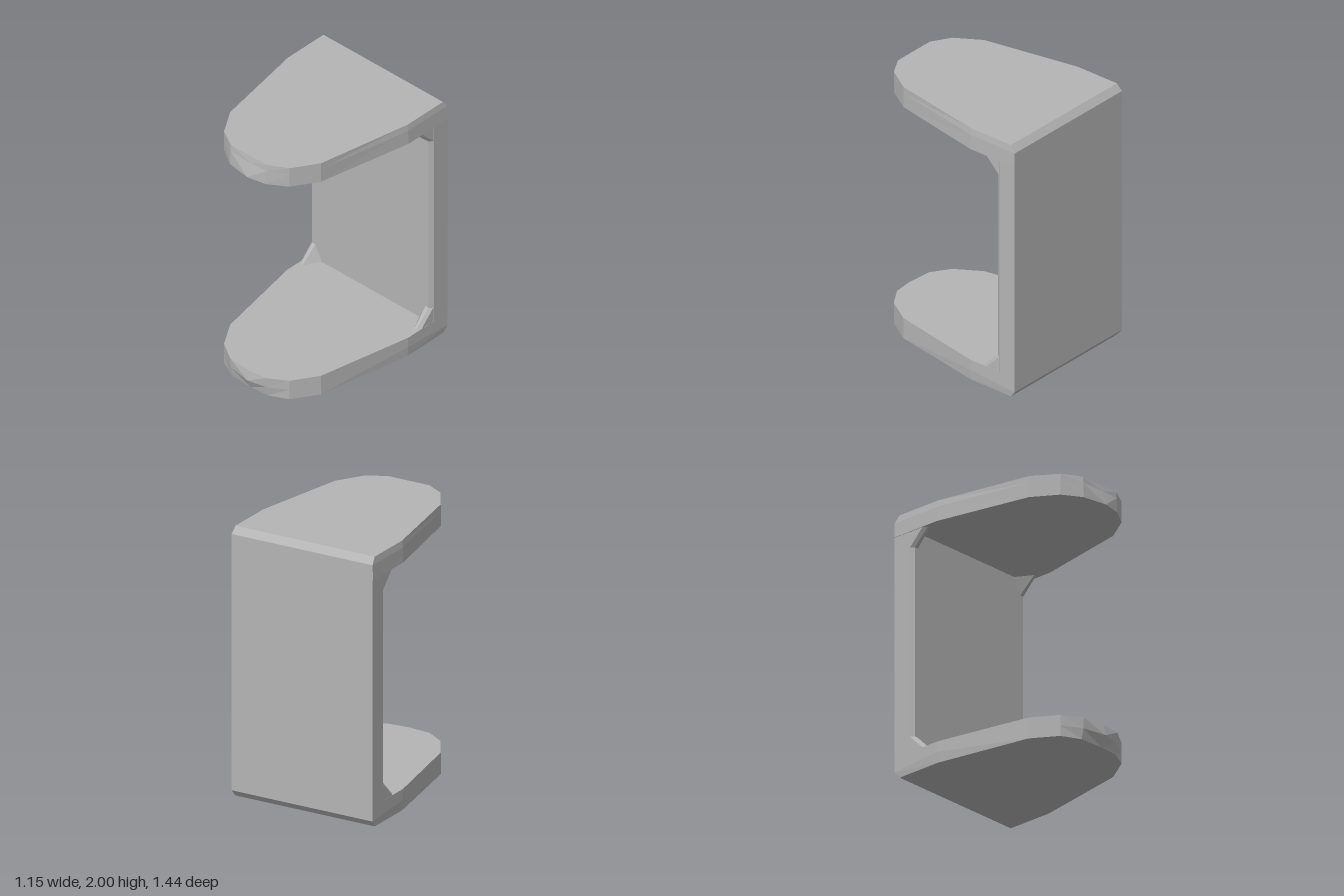
import * as THREE from 'three';
import { ConvexGeometry } from 'three/addons/geometries/ConvexGeometry.js';

// Joins equal-length rings (bottom to top, counter-clockwise from above) and caps both ends.
function loft(rings) {
  const pos = [];
  const tri = (a, b, c) => pos.push(...a, ...b, ...c);
  const n = rings[0].length;
  for (let r = 0; r < rings.length - 1; r++) {
    const lo = rings[r], hi = rings[r + 1];
    for (let j = 0; j < n; j++) {
      const k = (j + 1) % n;
      // Alternate the diagonals so the facets mirror left and right
      if (j < n / 2) { tri(lo[j], lo[k], hi[k]); tri(lo[j], hi[k], hi[j]); }
      else { tri(lo[j], lo[k], hi[j]); tri(lo[k], hi[k], hi[j]); }
    }
  }
  const bottom = rings[0], top = rings[rings.length - 1];
  for (let j = 1; j < n - 1; j++) {
    tri(top[0], top[j], top[j + 1]);
    tri(bottom[0], bottom[j + 1], bottom[j]);
  }
  const g = new THREE.BufferGeometry();
  g.setAttribute('position', new THREE.Float32BufferAttribute(pos, 3));
  g.computeVertexNormals();
  return g;
}

// Tongue-shaped outline: rounded nose in front, tapering sides, square back.
function slabRing({ y, tip, shoulder, width, back, backY = y }) {
  const half = [
    [0.17, y, shoulder], [0.31, y, 0.6], [0.43, y, 0.41],
    [width, y, -0.32], [width, backY, back],
  ];
  const mirrored = half.map(([x, h, z]) => [-x, h, z]).reverse();
  return [[0.02, y, tip], ...half, ...mirrored];
}

export function createModel() {
  const model = new THREE.Group();
  const grey = new THREE.MeshStandardMaterial({ color: 0xb4b4b4, flatShading: true });
  grey.name = 'plain grey';
  const add = (name, geometry) => {
    const mesh = new THREE.Mesh(geometry, grey);
    mesh.name = name;
    model.add(mesh);
  };

  // Top and bottom slabs with a chamfered back edge
  add('topSlab', loft([
    slabRing({ y: 1.84, tip: 0.72, shoulder: 0.69, width: 0.575, back: -0.72 }),
    slabRing({ y: 1.95, tip: 0.69, shoulder: 0.685, width: 0.572, back: -0.72 }),
    slabRing({ y: 2, tip: 0.68, shoulder: 0.68, width: 0.565, back: -0.68 }),
  ]));
  add('bottomSlab', loft([
    slabRing({ y: 0, tip: 0.68, shoulder: 0.67, width: 0.565, back: -0.68 }),
    slabRing({ y: 0.08, tip: 0.72, shoulder: 0.685, width: 0.572, back: -0.72, backY: 0.05 }),
    slabRing({ y: 0.16, tip: 0.705, shoulder: 0.69, width: 0.572, back: -0.72 }),
  ]));

  // Back panel with bevelled inner edges
  const panel = [
    [-0.55, -0.55], [0.55, -0.55], [0.572, -0.58],
    [0.572, -0.72], [-0.572, -0.72], [-0.572, -0.58],
  ];
  add('backPanel', loft([0.16, 1.84].map((y) => panel.map(([x, z]) => [x, y, z]))));

  // Corner gussets, mirrored across x and y
  const gusset = [
    [0.57, 0.16, -0.58], [0.57, 0.28, -0.58], [0.57, 0.16, -0.46],
    [0.55, 0.28, -0.55], [0.55, 0.16, -0.43],
    [0.52, 0.28, -0.55], [0.53, 0.16, -0.43], [0.46, 0.16, -0.55],
  ];
  for (const sx of [1, -1]) {
    for (const upper of [false, true]) {
      const points = gusset.map(([x, y, z]) => new THREE.Vector3(sx * x, upper ? 2 - y : y, z));
      add((upper ? 'upper' : 'lower') + (sx > 0 ? 'Left' : 'Right') + 'Gusset', new ConvexGeometry(points));
    }
  }
  return model;
}
